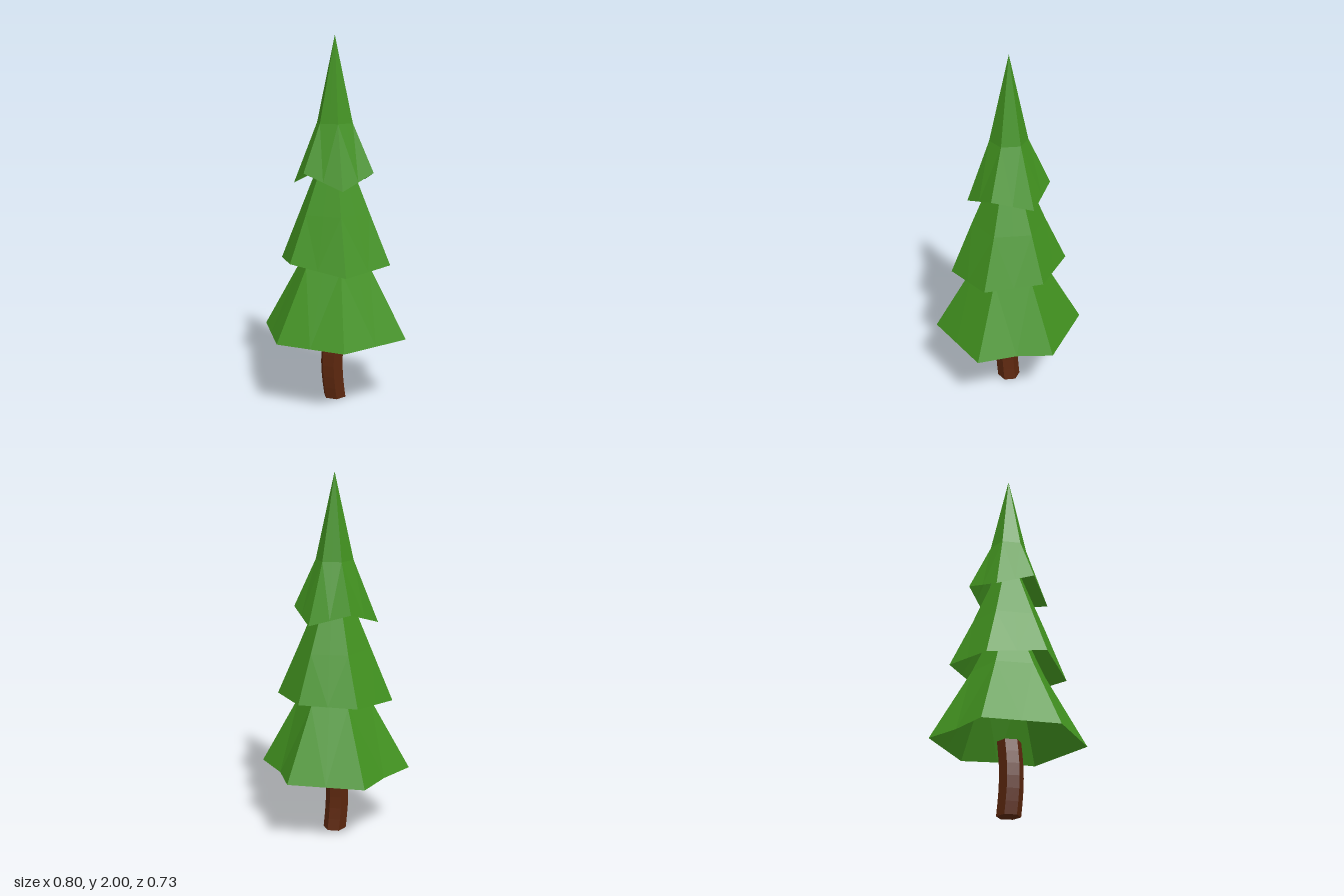
import * as THREE from 'three';

const needles = new THREE.MeshStandardMaterial({ color: 0x41911f, flatShading: true, side: THREE.DoubleSide });
const bark = new THREE.MeshStandardMaterial({ color: 0x5c270e, flatShading: true });

// Hollow hexagonal skirt of branches: apex, knee ring, then an uneven rim.
// corners: six [x, y, z] going from +x round through +z; notches: moved edge midpoints by index.
function tier(name, apexY, kneeY, kneeR, corners, notches = {}) {
  const apex = new THREE.Vector3(0, apexY, 0);
  const rimCorners = corners.map((c) => new THREE.Vector3(...c));
  const kneeCorners = corners.map((_, i) => {
    const a = (i * Math.PI) / 3;
    return new THREE.Vector3(Math.cos(a) * kneeR, kneeY, Math.sin(a) * kneeR);
  });
  // insert a point in the middle of every side
  const withMiddles = (ring, moved = {}) => ring.flatMap((p, i) => [
    p,
    moved[i] ? new THREE.Vector3(...moved[i]) : p.clone().lerp(ring[(i + 1) % 6], 0.5),
  ]);
  const rim = withMiddles(rimCorners, notches);
  const knee = withMiddles(kneeCorners);

  const points = [];
  for (let i = 0; i < 12; i++) {
    const j = (i + 1) % 12;
    points.push(apex, knee[j], knee[i]);
    // the diagonal always starts at a corner of the knee ring
    if (i % 2 === 0) points.push(knee[i], knee[j], rim[j], knee[i], rim[j], rim[i]);
    else points.push(knee[i], knee[j], rim[i], knee[j], rim[j], rim[i]);
  }
  const geometry = new THREE.BufferGeometry().setFromPoints(points);
  geometry.computeVertexNormals();
  const mesh = new THREE.Mesh(geometry, needles);
  mesh.name = name;
  return mesh;
}

// Six-sided trunk, bowed gently towards -x
function makeTrunk() {
  const height = 0.39;
  const geometry = new THREE.CylinderGeometry(0.064, 0.064, height, 6, 6);
  geometry.rotateY(Math.PI / 2).translate(0, height / 2, 0);
  const pos = geometry.attributes.position;
  for (let i = 0; i < pos.count; i++) {
    const t = pos.getY(i) / height;
    pos.setX(i, pos.getX(i) - 0.02 * Math.sin(Math.PI * t) - 0.004 * t);
  }
  geometry.computeVertexNormals();
  const mesh = new THREE.Mesh(geometry, bark);
  mesh.name = 'trunk';
  return mesh;
}

export function createModel() {
  const tree = new THREE.Group();
  tree.name = 'pineTree';
  tree.add(
    makeTrunk(),
    tier('lowerBranches', 1.2, 0.77, 0.2, [
      [0.4, 0.385, 0], [0.2, 0.38, 0.362], [-0.225, 0.385, 0.35],
      [-0.4, 0.385, 0], [-0.215, 0.385, -0.357], [0.2, 0.385, -0.365],
    ], { 0: [0.28, 0.38, 0.158], 4: [0, 0.385, -0.343] }),
    tier('middleBranches', 1.54, 1.06, 0.2, [
      [0.305, 0.805, 0], [0.155, 0.785, 0.28], [-0.155, 0.76, 0.28],
      [-0.307, 0.81, 0], [-0.155, 0.775, -0.28], [0.155, 0.8, -0.28],
    ]),
    tier('upperBranches', 2, 1.54, 0.102, [
      [0.217, 1.215, 0], [0.107, 1.28, 0.195], [-0.107, 1.2, 0.195],
      [-0.213, 1.285, 0], [-0.13, 1.205, -0.195], [0.107, 1.28, -0.195],
    ]),
  );
  return tree;
}
